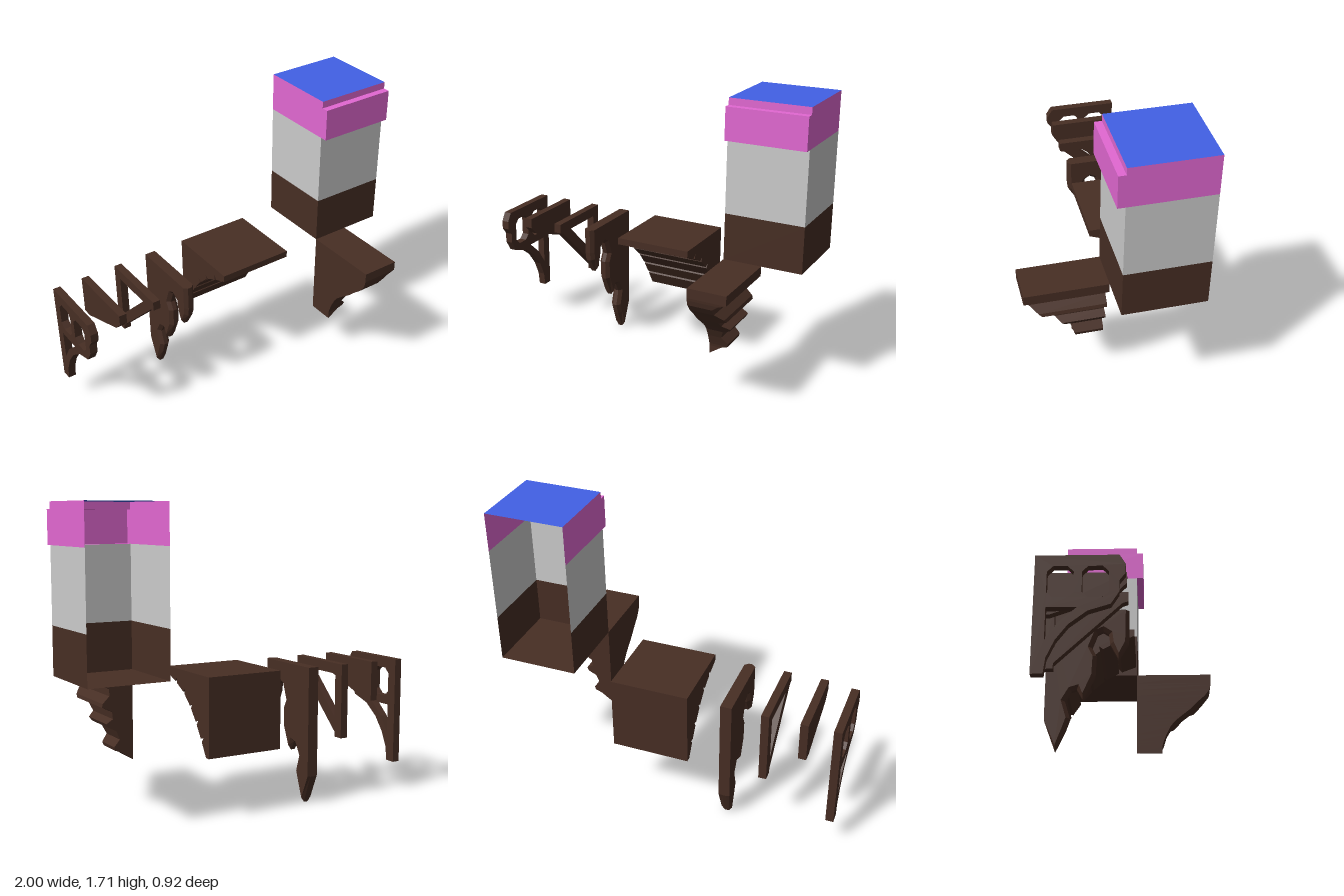
import * as THREE from 'three';

const mat = (color, side = THREE.FrontSide) =>
  new THREE.MeshStandardMaterial({ color, side, flatShading: true });
const BROWN = 0x472e24, PINK = 0xe268d2, BLUE = 0x4260e6, GREY = 0xcccccc;
const X0 = 0.54, X1 = 1, BACK = -0.46, TOP = 0.8;

function add(group, name, geometry, material) {
  const mesh = new THREE.Mesh(geometry, material);
  mesh.name = name;
  group.add(mesh);
  return mesh;
}

function flat(positions, index) {
  let g = new THREE.BufferGeometry();
  g.setAttribute('position', new THREE.Float32BufferAttribute(positions, 3));
  g.setIndex(index);
  g = g.toNonIndexed();
  g.computeVertexNormals();
  return g;
}

// Side profile in (z, y), extruded across x from xMin to xMax
const toPoints = (pts) => pts.map(([z, y]) => new THREE.Vector2(z, y));
function profile(pts, xMin, xMax, holes = [], bevel = 0) {
  const shape = new THREE.Shape(toPoints(pts));
  for (const h of holes) shape.holes.push(new THREE.Path(toPoints(h)));
  const g = new THREE.ExtrudeGeometry(shape, {
    depth: xMax - xMin - 2 * bevel, bevelEnabled: bevel > 0, bevelSegments: 1,
    bevelSize: bevel, bevelThickness: bevel, bevelOffset: -bevel,
  });
  g.rotateY(-Math.PI / 2);
  g.translate(xMax - bevel, 0, 0);
  return g;
}

// Three-sided wall, open at the back, with its front at zFront
function wall(y0, y1, zFront) {
  const path = [[X0, BACK], [X0, zFront], [X1, zFront], [X1, BACK]];
  const pos = [], index = [];
  path.forEach(([x, z], i) => {
    pos.push(x, y0, z, x, y1, z);
    const a = i * 2;
    if (i < 3) index.push(a, a + 2, a + 3, a, a + 3, a + 1);
  });
  return flat(pos, index);
}

// Horizontal sheet over the building's width
function sheet(y, z0, z1) {
  const g = new THREE.PlaneGeometry(X1 - X0, z1 - z0);
  g.rotateX(-Math.PI / 2);
  g.translate((X0 + X1) / 2, y, (z0 + z1) / 2);
  return g;
}

function building() {
  const g = new THREE.Group();
  g.name = 'building';
  const two = (c) => mat(c, THREE.DoubleSide);
  add(g, 'floor', sheet(TOP, BACK, 0), two(BROWN));
  add(g, 'lowerWall', wall(TOP, 1.07, 0), two(BROWN));
  add(g, 'middleWall', wall(1.07, 1.49, 0), two(GREY));
  add(g, 'corniceWall', wall(1.49, 1.675, 0.04), two(PINK));
  add(g, 'upperWall', wall(1.675, 1.715, 0), two(PINK));
  add(g, 'corniceLedge', sheet(1.675, 0, 0.04), two(PINK));
  add(g, 'corniceUnderside', sheet(1.49, 0, 0.04), two(PINK));
  add(g, 'roof', sheet(1.715, BACK, 0), two(BLUE));
  return g;
}

// Moulded corbel: stacked rectangles given as [y, x reach, z reach]
function corbel() {
  const rows = [
    [0.8, 0.765, 0.46], [0.745, 0.765, 0.46], [0.73, 0.72, 0.458], [0.7, 0.68, 0.45],
    [0.66, 0.68, 0.42], [0.62, 0.72, 0.375], [0.6, 0.725, 0.355], [0.585, 0.69, 0.34],
    [0.57, 0.665, 0.325], [0.53, 0.66, 0.275], [0.505, 0.7, 0.245], [0.485, 0.69, 0.225],
    [0.46, 0.64, 0.205], [0.41, 0.62, 0.18], [0.37, 0.655, 0.165], [0.35, 0.65, 0.158],
    [0.335, 0.61, 0.155], [0.29, 0.545, 0.155],
  ];
  const pos = [], index = [0, 3, 2, 0, 2, 1];
  rows.forEach(([y, x, z], r) => {
    pos.push(X0, y, 0, x, y, 0, x, y, z, X0, y, z);
    if (r === rows.length - 1) return;
    for (let i = 0; i < 4; i++) {
      const a = r * 4 + i, b = r * 4 + (i + 1) % 4;
      index.push(a, b, b + 4, a, b + 4, a + 4);
    }
  });
  const e = (rows.length - 1) * 4;
  index.push(e, e + 1, e + 2, e, e + 2, e + 3);
  return flat(pos, index);
}

// Wide support with a curved underside cut by small grooves
function wideSupport() {
  const curve = new THREE.SplineCurve(toPoints(
    [[0, 0.76], [-0.1, 0.72], [-0.19, 0.67], [-0.28, 0.585], [-0.36, 0.475], [-0.43, 0.36]]));
  const pts = [[BACK, TOP], [0, TOP]];
  const n = 6;
  for (let i = 0; i <= n; i++) {
    const p = curve.getPointAt(i / n), t = curve.getTangentAt(i / n);
    if (i === 0 || i === n) { pts.push([p.x, p.y]); continue; }
    pts.push([p.x - t.x * 0.01, p.y - t.y * 0.01]);
    pts.push([p.x + t.y * 0.028, p.y - t.x * 0.028]);
    pts.push([p.x + t.x * 0.01, p.y + t.y * 0.01]);
  }
  pts.push([BACK, 0.36]);
  return profile(pts, -0.14, 0.315);
}

// Carved pendant bracket with chamfered edges; top and back are trimmed flat
function carvedBracket() {
  const g = profile([
    [-0.49, 0.83], [-0.02, 0.83], [-0.02, 0.655], [-0.025, 0.605], [-0.077, 0.518],
    [-0.123, 0.605], [-0.13, 0.66], [-0.16, 0.68], [-0.19, 0.665], [-0.22, 0.585],
    [-0.195, 0.535], [-0.2, 0.42], [-0.264, 0.29], [-0.295, 0.345], [-0.323, 0.336],
    [-0.355, 0.28], [-0.327, 0.186], [-0.35, 0.118], [-0.4, 0.01], [-0.49, 0.172],
  ], -0.395, -0.33, [], 0.02);
  const p = g.attributes.position;
  for (let i = 0; i < p.count; i++) {
    p.setY(i, Math.min(p.getY(i), TOP));
    p.setZ(i, Math.max(p.getZ(i), BACK));
  }
  g.computeVertexNormals();
  return g;
}

// Rectangle with clipped corners, used for the frame openings
const octagon = (z0, z1, y0, y1, c) => [
  [z0 + c, y0], [z1 - c, y0], [z1, y0 + c], [z1, y1 - c],
  [z1 - c, y1], [z0 + c, y1], [z0, y1 - c], [z0, y0 + c],
];

export function createModel() {
  const root = new THREE.Group();
  root.name = 'buildingWithBrackets';
  const wood = mat(BROWN);
  root.add(building());
  add(root, 'mouldedCorbel', corbel(), wood);
  add(root, 'wideSupport', wideSupport(), wood);
  add(root, 'carvedBracket', carvedBracket(), wood);

  // Post, beam and diagonal brace
  add(root, 'triangleBracket', profile(
    [[BACK, TOP], [-0.02, TOP], [-0.02, 0.745], [-0.05, 0.735], [-0.4, 0.4], [-0.4, 0.37], [BACK, 0.37]],
    -0.605, -0.56,
    [[[-0.4, 0.74], [-0.4, 0.485], [-0.135, 0.74]]]), wood);

  // Plain tapered board
  add(root, 'plainBracket', profile(
    [[BACK, TOP], [-0.02, TOP], [-0.02, 0.74], [-0.07, 0.69], [-0.4, 0.57], [BACK, 0.57]],
    -0.82, -0.775), wood);

  // Openwork frame with a curved brace
  add(root, 'frameBracket', profile(
    [[BACK, TOP], [-0.05, TOP], [-0.02, 0.75], [-0.02, 0.7], [-0.05, 0.66], [-0.05, 0.6],
      [-0.09, 0.535], [-0.2, 0.5], [-0.29, 0.43], [-0.35, 0.35], [-0.39, 0.26], [-0.4, 0.18], [BACK, 0.18]],
    -1, -0.955,
    [octagon(-0.4, -0.27, 0.57, 0.74, 0.03), octagon(-0.23, -0.1, 0.57, 0.74, 0.03),
      [[-0.4, 0.52], [-0.4, 0.35], [-0.34, 0.44], [-0.25, 0.52]]]), wood);
  return root;
}
